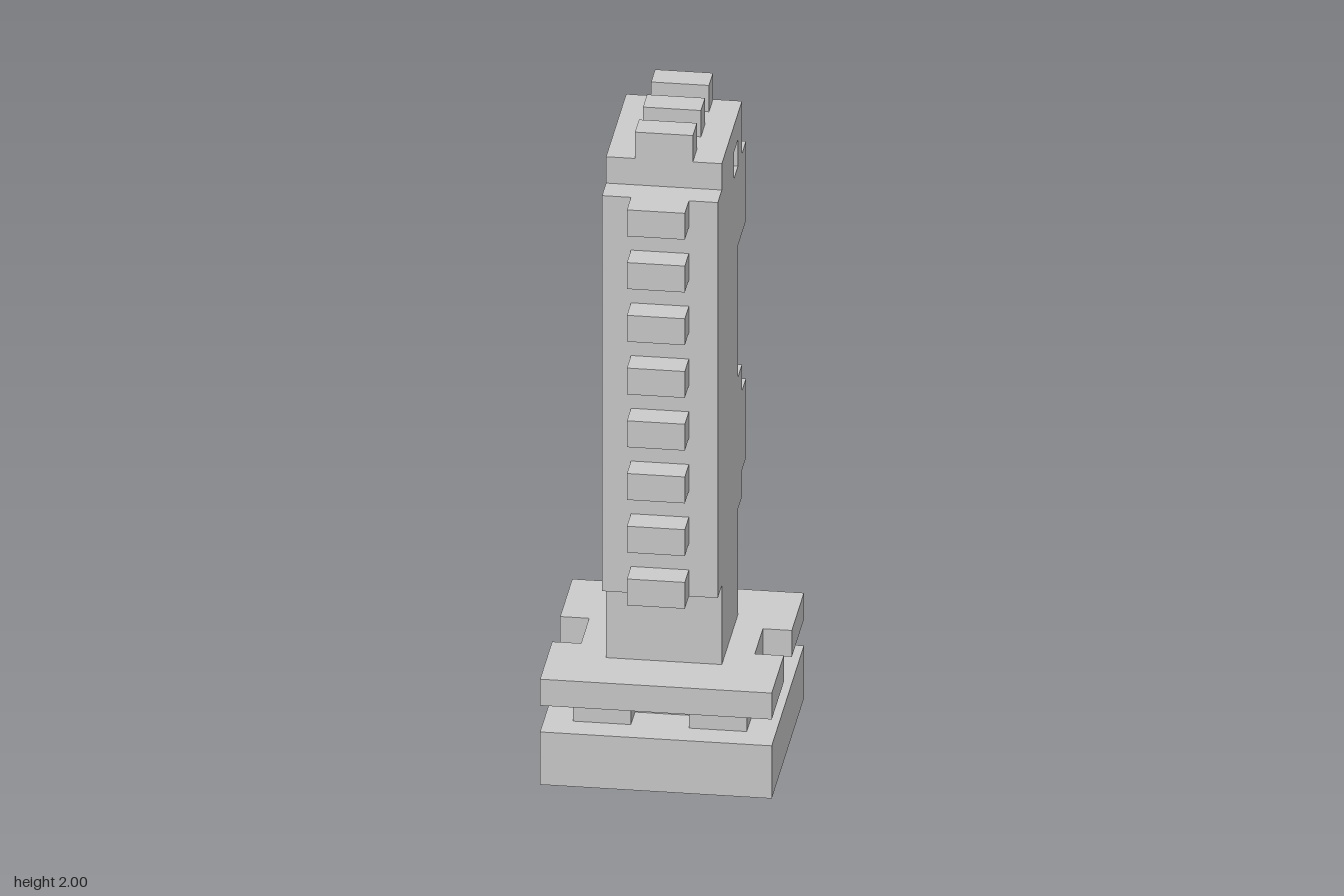
import * as THREE from 'three';

const U = 1 / 12; // one block

export function createModel() {
  const model = new THREE.Group();
  const material = new THREE.MeshStandardMaterial({ color: 0xcccccc, flatShading: true });

  const add = (name, geometry) => {
    const mesh = new THREE.Mesh(geometry, material);
    mesh.name = name;
    model.add(mesh);
    return mesh;
  };
  // Box given by its limits in blocks
  const block = (name, x0, x1, y0, y1, z0, z1) => {
    const g = new THREE.BoxGeometry((x1 - x0) * U, (y1 - y0) * U, (z1 - z0) * U);
    g.translate(((x0 + x1) / 2) * U, ((y0 + y1) / 2) * U, ((z0 + z1) / 2) * U);
    return add(name, g);
  };
  const points = (list) => list.map(([a, b]) => new THREE.Vector2(a * U, b * U));
  const extrude = (shape, depth) =>
    new THREE.ExtrudeGeometry(shape, { depth: depth * U, bevelEnabled: false });

  // Plinth with four feet and a core carrying the upper slab
  block('plinth', -4, 4, 0, 2, -4, 4);
  block('plinthCore', -2, 2, 2, 3, -2, 2);
  for (const x of [-3, 1]) for (const z of [-3, 1]) block('foot', x, x + 2, 2, 3, z, z + 2);

  // Upper slab, notched at the back and both sides (outline is x, -z)
  const slab = new THREE.Shape(points([
    [-4, -4], [4, -4], [4, -1], [3, -1], [3, 1], [4, 1], [4, 4],
    [1, 4], [1, 3], [-1, 3], [-1, 4],
    [-4, 4], [-4, 1], [-3, 1], [-3, -1], [-4, -1],
  ]));
  const slabGeometry = extrude(slab, 1);
  slabGeometry.rotateX(-Math.PI / 2);
  slabGeometry.translate(0, 3 * U, 0);
  add('upperSlab', slabGeometry);

  // Tower side profile (z, y), extruded across x
  const profile = points([
    [2, 4], [2, 7], [3, 7], [3, 22], [2, 22], [2, 23], [-3, 23], [-3, 21],
    [-4, 21], [-4, 18], [-2, 18], [-2, 13], [-3, 13], [-3, 12], [-4, 12],
    [-4, 9], [-3, 9], [-3, 8], [-2, 8], [-2, 4],
  ]);
  const tower = (name, xMax, width, withEye) => {
    const shape = new THREE.Shape(profile);
    if (withEye) shape.holes.push(new THREE.Path(points([[-2, 21], [-1, 21], [-1, 22], [-2, 22]])));
    const g = extrude(shape, width);
    g.rotateY(-Math.PI / 2);
    g.translate(xMax * U, 0, 0);
    add(name, g);
  };
  // Solid middle, and outer layers with a square recess
  tower('towerCore', 1, 2, false);
  tower('towerLeftSide', 2, 1, true);
  tower('towerRightSide', -1, 1, true);

  // Studs up the front
  for (let y = 7; y <= 21; y += 2) block('frontStud', -1, 1, y, y + 1, 3, 4);

  // Crest blocks on the roof
  for (const z of [-3, -1, 1]) block('crestBlock', -1, 1, 23, 24, z, z + 1);

  return model;
}
